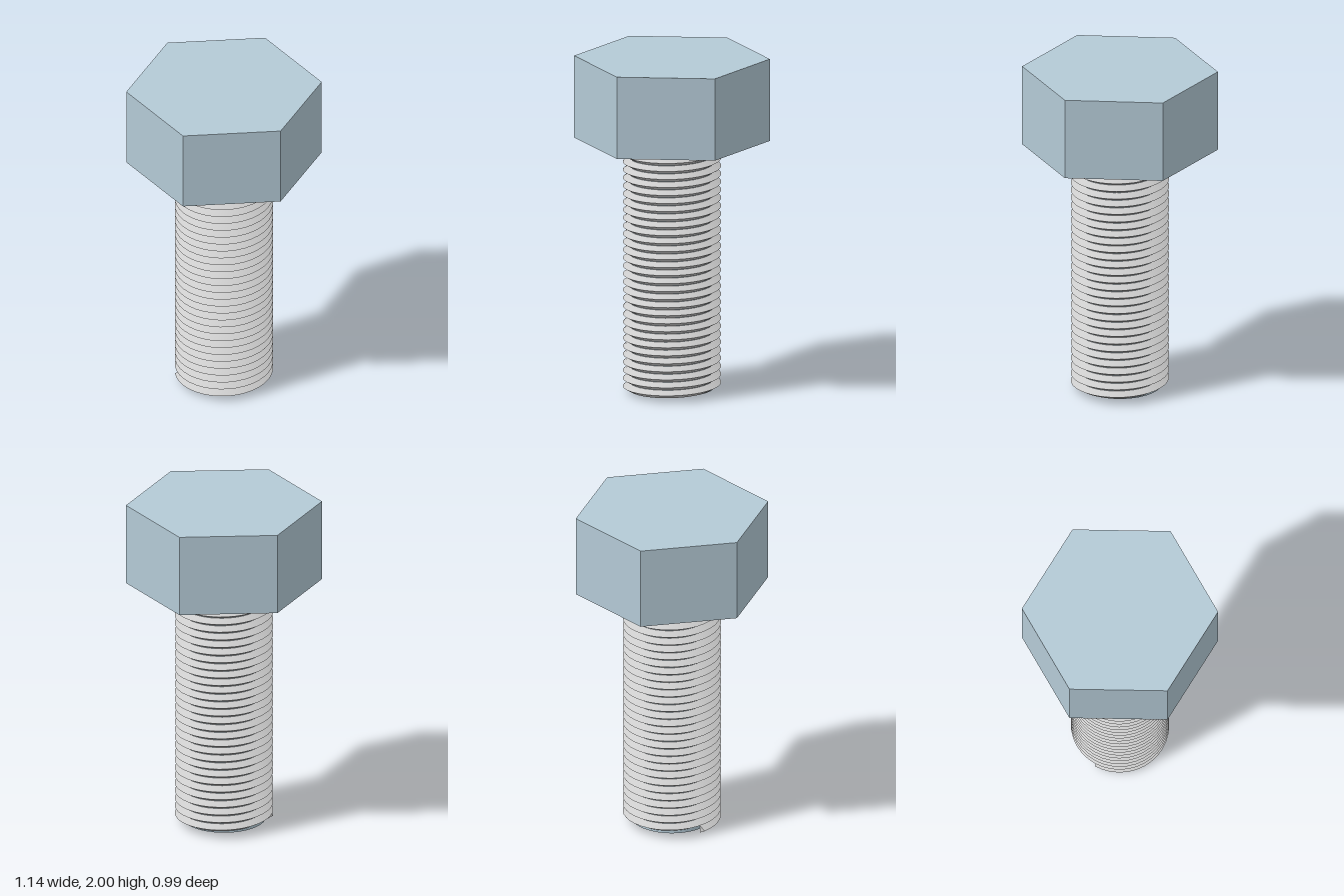
import * as THREE from 'three';

const HEAD_BOTTOM = 1.51;
const PITCH = 0.048, TURNS = 31, STEPS = 36; // steps per turn
const ROOT = 0.245, CREST = 0.286;

// Right-handed helical ridge with a triangular section; each flank has its own vertices so edges stay sharp
function threadGeometry() {
  const section = [[ROOT - 0.001, 0], [CREST, PITCH / 2], [ROOT - 0.001, PITCH]];
  const positions = [], indices = [];
  const point = (turn, [r, dy]) => {
    const a = Math.PI - turn * Math.PI * 2;
    positions.push(r * Math.cos(a), turn * PITCH + dy, r * Math.sin(a));
  };
  const count = TURNS * STEPS;
  for (let side = 0; side < 3; side++) {
    const base = positions.length / 3;
    for (let i = 0; i <= count; i++) {
      point(i / STEPS, section[side]);
      point(i / STEPS, section[(side + 1) % 3]);
      if (i < count) {
        const k = base + i * 2;
        indices.push(k, k + 2, k + 3, k, k + 3, k + 1);
      }
    }
  }
  // end faces
  for (const turn of [0, TURNS]) {
    const k = positions.length / 3;
    section.forEach((s) => point(turn, s));
    indices.push(k, k + 1, k + 2);
  }
  const geometry = new THREE.BufferGeometry();
  geometry.setAttribute('position', new THREE.Float32BufferAttribute(positions, 3));
  geometry.setIndex(indices);
  geometry.computeVertexNormals();
  return geometry;
}

export function createModel() {
  const group = new THREE.Group();
  group.name = 'hexBolt';
  const blue = 0xb4cad6;

  const add = (name, geometry, material, y = 0) => {
    const mesh = new THREE.Mesh(geometry, material);
    mesh.name = name;
    mesh.position.y = y;
    group.add(mesh);
  };

  // hexagonal head with corners on the x axis
  const headHeight = 2 - HEAD_BOTTOM;
  add('head', new THREE.CylinderGeometry(0.57, 0.57, headHeight, 6, 1, false, Math.PI / 2),
    new THREE.MeshStandardMaterial({ color: blue, flatShading: true }), HEAD_BOTTOM + headHeight / 2);

  // smooth shank inside the thread, ending half a pitch above the thread's start
  const shankBottom = 0.026;
  add('shank', new THREE.CylinderGeometry(ROOT, ROOT, HEAD_BOTTOM - shankBottom, STEPS * 2),
    new THREE.MeshStandardMaterial({ color: blue }), (HEAD_BOTTOM + shankBottom) / 2);

  // helical thread; its last turn runs out into the head
  add('thread', threadGeometry(),
    new THREE.MeshStandardMaterial({ color: 0xcccccc, side: THREE.DoubleSide }));

  return group;
}
